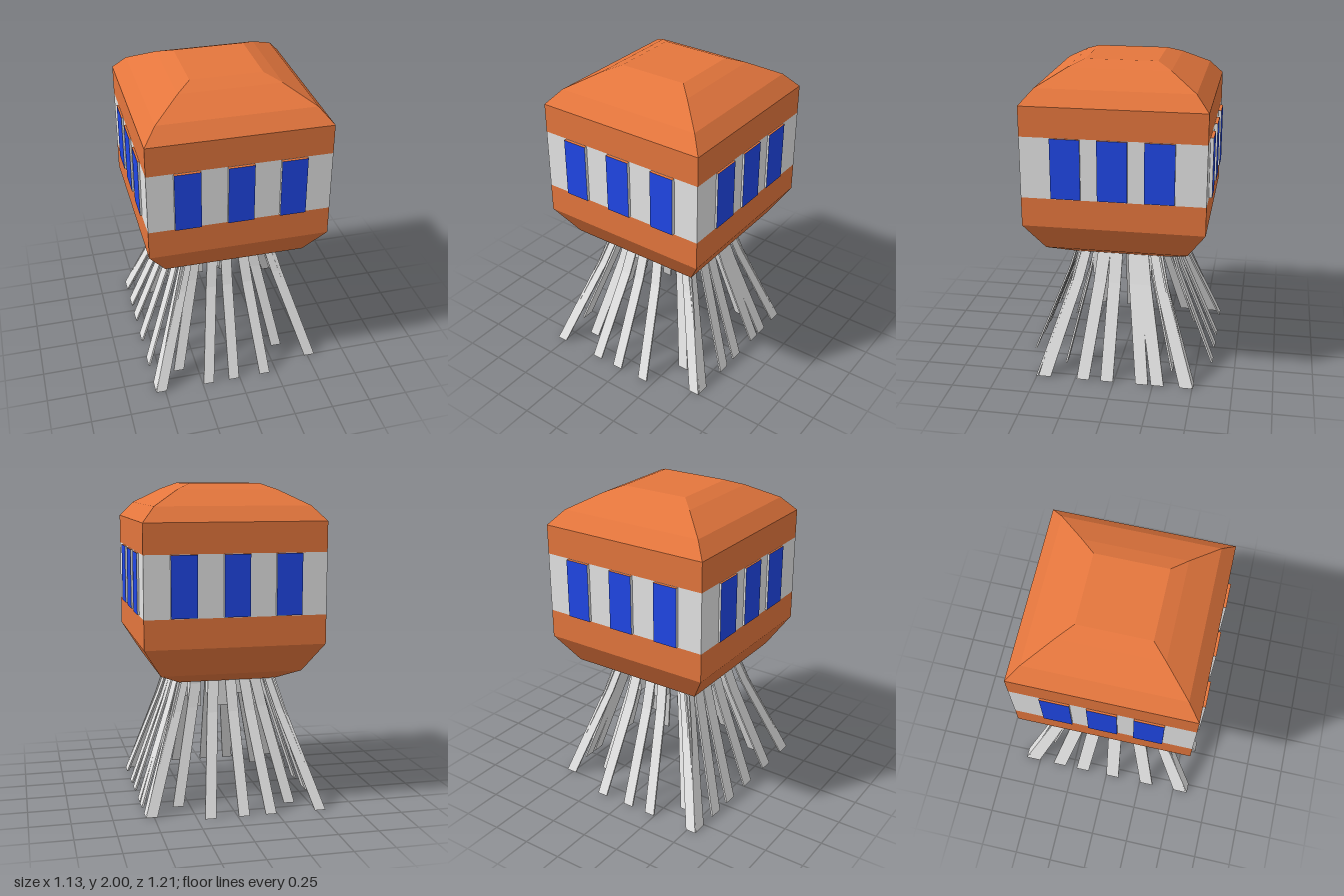
import * as THREE from 'three';

const mat = (name, color) => {
  const m = new THREE.MeshStandardMaterial({ color, flatShading: true });
  m.name = name;
  return m;
};

// Four-sided shell from [half width, height] pairs, bottom to top
function squareShell(name, profile, material) {
  const pts = profile.map(([h, y]) => new THREE.Vector2(h * Math.SQRT2, y));
  const mesh = new THREE.Mesh(new THREE.LatheGeometry(pts, 4, Math.PI / 4), material);
  mesh.name = name;
  return mesh;
}

// Rectangular strut lofted through sections [x, y, z, width, depth], top to bottom
function strut(name, sections, material) {
  const pos = [], idx = [];
  for (const [x, y, z, w, d] of sections) {
    for (const [sx, sz] of [[-1, 1], [1, 1], [1, -1], [-1, -1]]) {
      pos.push(x + sx * w / 2, y, z + sz * d / 2);
    }
  }
  const n = sections.length;
  for (let i = 0; i < n - 1; i++) {
    for (let k = 0; k < 4; k++) {
      const a = i * 4 + k, b = i * 4 + (k + 1) % 4;
      idx.push(a, a + 4, b + 4, a, b + 4, b);
    }
  }
  const e = (n - 1) * 4;
  idx.push(0, 1, 2, 0, 2, 3, e, e + 2, e + 1, e, e + 3, e + 2);
  const indexed = new THREE.BufferGeometry();
  indexed.setAttribute('position', new THREE.Float32BufferAttribute(pos, 3));
  indexed.setIndex(idx);
  const geo = indexed.toNonIndexed();
  geo.computeVertexNormals();
  const mesh = new THREE.Mesh(geo, material);
  mesh.name = name;
  return mesh;
}

export function createModel() {
  const orange = mat('orange', 0xe4763d);
  const grey = mat('light grey', 0xe5e5e5);
  const blue = mat('window blue', 0x2048ea);
  const model = new THREE.Group();
  model.name = 'cabinOnStruts';

  // Cabin: open-bottomed hull, window band and stepped roof
  const W = 0.555;
  model.add(
    squareShell('lowerHull', [[0.305, 0.787], [0.44, 0.857], [W, 1.04], [W, 1.22]], orange),
    squareShell('windowBand', [[W, 1.22], [W, 1.597]], grey),
    squareShell('roof', [[W, 1.597], [W, 1.78], [0.475, 1.87], [0.31, 1.963], [0.22, 2], [0, 2]], orange),
  );

  // Three raised windows on each wall: blue face, grey sides, orange rims
  const faces = [grey, grey, orange, orange, blue, orange];
  for (let side = 0; side < 4; side++) {
    const wall = new THREE.Group();
    wall.name = 'windows' + (side + 1);
    wall.rotation.y = side * Math.PI / 2;
    const onX = side % 2 === 1;
    const width = onX ? 0.18 : 0.158;
    const out = onX ? 0.567 : 0.575;
    for (const i of [-1, 0, 1]) {
      const win = new THREE.Mesh(new THREE.BoxGeometry(width, 0.37, 0.03), faces);
      win.name = 'window';
      win.position.set(i * (onX ? 0.28 : 0.318), 1.41, out - 0.015);
      wall.add(win);
    }
    model.add(wall);
  }

  // Splayed flat slats, slightly kinked at y = 0.6
  const struts = new THREE.Group();
  struts.name = 'struts';
  const THIN = 0.012;
  const addSlat = (x, z, w, d) => struts.add(strut('slat', [
    [x * 0.52, 0.8, z * 0.5, w, d],
    [x * 0.63, 0.6, z * 0.6, w, d],
    [x, 0, z, w, d],
  ], grey));

  // Front and back rows, facing z
  for (const s of [1, -1]) {
    for (const x of [-0.525, -0.21, -0.04, 0.17]) addSlat(x, s * 0.597, 0.068, THIN);
    addSlat(-0.375, s * 0.43, 0.068, THIN);
    addSlat(0.325, s * 0.35, 0.068, THIN);
    addSlat(0.515, s * 0.5, 0.07, THIN);
  }
  // Left and right rows, facing x
  for (const z of [0.55, 0.3, 0.045, -0.18, -0.355, -0.55]) addSlat(-0.555, z, THIN, 0.09);
  for (const z of [0.45, 0.2, 0.045, -0.18, -0.28, -0.46]) addSlat(0.545, z, THIN, 0.08);

  // Short upright stubs under the hull opening
  for (const x of [-0.18, 0, 0.18]) {
    for (const z of [-0.15, 0.15]) {
      struts.add(strut('stub', [[x, 0.8, z, 0.07, 0.08], [x, 0.6, z, 0.07, 0.08]], grey));
    }
  }
  model.add(struts);

  return model;
}
